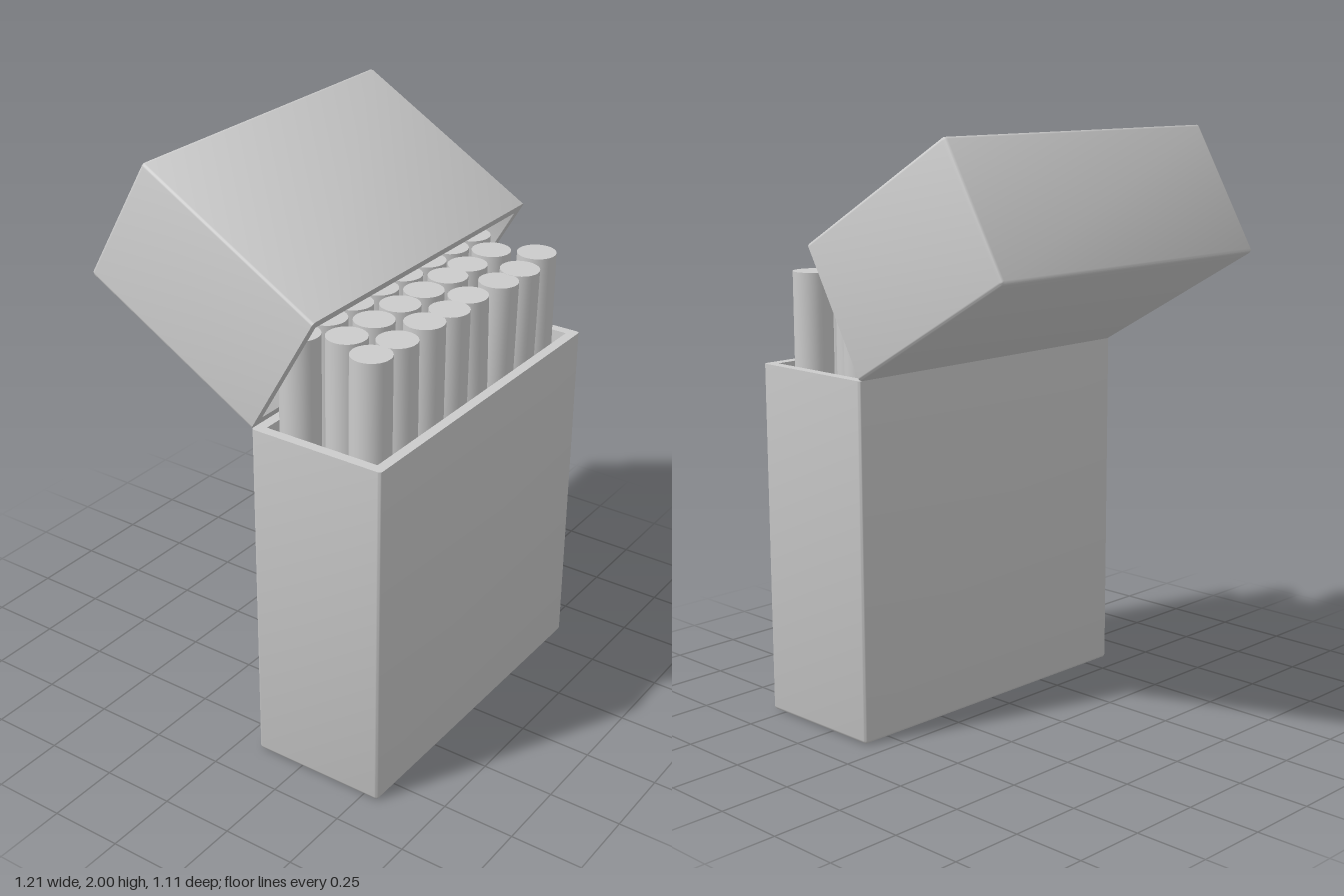
import * as THREE from 'three';
import { toCreasedNormals } from 'three/addons/utils/BufferGeometryUtils.js';

const W = 1.21, D = 0.482, BODY_H = 1.22, LID_H = 0.727, WALL = 0.035;
const BACK_Z = 0.075;
const material = new THREE.MeshStandardMaterial({ color: 0xcccccc });

// Rounded rectangle cross-section, the same point count for every size
function ring(inset, y, radius) {
  const points = [], steps = 4;
  const hw = W / 2 - inset - radius, hd = D / 2 - inset - radius;
  [[1, 1], [-1, 1], [-1, -1], [1, -1]].forEach(([sx, sz], corner) => {
    for (let i = 0; i <= steps; i++) {
      const a = (corner + i / steps) * Math.PI / 2;
      points.push([sx * hw + radius * Math.cos(a), y, sz * hd + radius * Math.sin(a)]);
    }
  });
  return points;
}

// Open box with wall thickness: outside up, over the rim, inside down to the floor
function shell(height) {
  const r = 0.012;
  const outer = ring(0, r, r);
  const centre = (y) => outer.map(() => [0, y, 0]);
  const rings = [
    centre(0), ring(r, 0, 0.002), ring(r * 0.3, r * 0.3, r * 0.75), outer,
    ring(0, height, r), ring(WALL, height, 0.003), ring(WALL, WALL, 0.003), centre(WALL),
  ];
  const n = outer.length, index = [];
  for (let k = 0; k < rings.length - 1; k++) {
    for (let i = 0; i < n; i++) {
      const j = (i + 1) % n;
      const a = k * n + i, b = k * n + j, c = a + n, d = b + n;
      if (k > 0) index.push(a, c, b);
      if (k < rings.length - 2) index.push(b, c, d);
    }
  }
  // the floor fan closes on its centre with one triangle per side
  const geometry = new THREE.BufferGeometry();
  geometry.setAttribute('position', new THREE.Float32BufferAttribute(rings.flat(2), 3));
  // the base fan uses the second triangle of each quad
  geometry.setIndex(index);
  return toCreasedNormals(geometry, 0.8);
}

// A stick standing on the box floor, from its base point to its top point
function stick(base, top) {
  const from = new THREE.Vector3(...base), to = new THREE.Vector3(...top);
  const axis = to.clone().sub(from);
  const mesh = new THREE.Mesh(new THREE.CylinderGeometry(0.066, 0.066, axis.length(), 32), material);
  mesh.position.copy(from).add(to).multiplyScalar(0.5);
  mesh.quaternion.setFromUnitVectors(new THREE.Vector3(0, 1, 0), axis.normalize());
  return mesh;
}

export function createModel() {
  const model = new THREE.Group();

  const body = new THREE.Mesh(shell(BODY_H), material);
  body.name = 'boxBody';
  body.position.z = BACK_Z + D / 2;
  model.add(body);

  // Lid: the same shell upside down, swung back 60 degrees on the rear top edge
  const lid = new THREE.Group();
  lid.name = 'hingedLid';
  const cap = new THREE.Mesh(shell(LID_H), material);
  cap.name = 'lidShell';
  cap.rotation.x = Math.PI;
  cap.position.set(0, LID_H, D / 2);
  lid.add(cap);
  lid.position.set(0, BODY_H, BACK_Z);
  lid.rotation.x = -Math.PI / 3;
  model.add(lid);

  // Three staggered rows: top centres in x, with a few leaning sticks
  // lean entries: stick number -> [base shift x, base shift z]
  const rows = [
    { z: 0.442, xs: [-0.49, -0.347, -0.203, -0.067, 0.06, 0.215, 0.34, 0.48],
      lean: { 1: [0.006, 0.006], 3: [-0.005, -0.006], 4: [0.03, 0.012], 5: [-0.015, -0.02], 6: [0, -0.03] } },
    { z: 0.308, xs: [-0.425, -0.28, -0.137, -0.002, 0.14, 0.275, 0.41],
      lean: { 5: [-0.01, 0.015] } },
    { z: 0.18, xs: [-0.49, -0.35, -0.21, -0.07, 0.07, 0.21, 0.35, 0.49], lean: {} },
  ];
  const sticks = new THREE.Group();
  sticks.name = 'sticks';
  rows.forEach(({ z, xs, lean }, r) => xs.forEach((x, i) => {
    const [dx, dz] = lean[i] ?? [0, 0];
    const topZ = z - dz * 0.6;
    const topY = dx || dz ? 1.522 : 1.53;
    const mesh = stick([x + dx, WALL, topZ + dz], [x, topY, topZ]);
    mesh.name = `stickRow${r + 1}Number${i + 1}`;
    sticks.add(mesh);
  }));
  model.add(sticks);

  return model;
}
